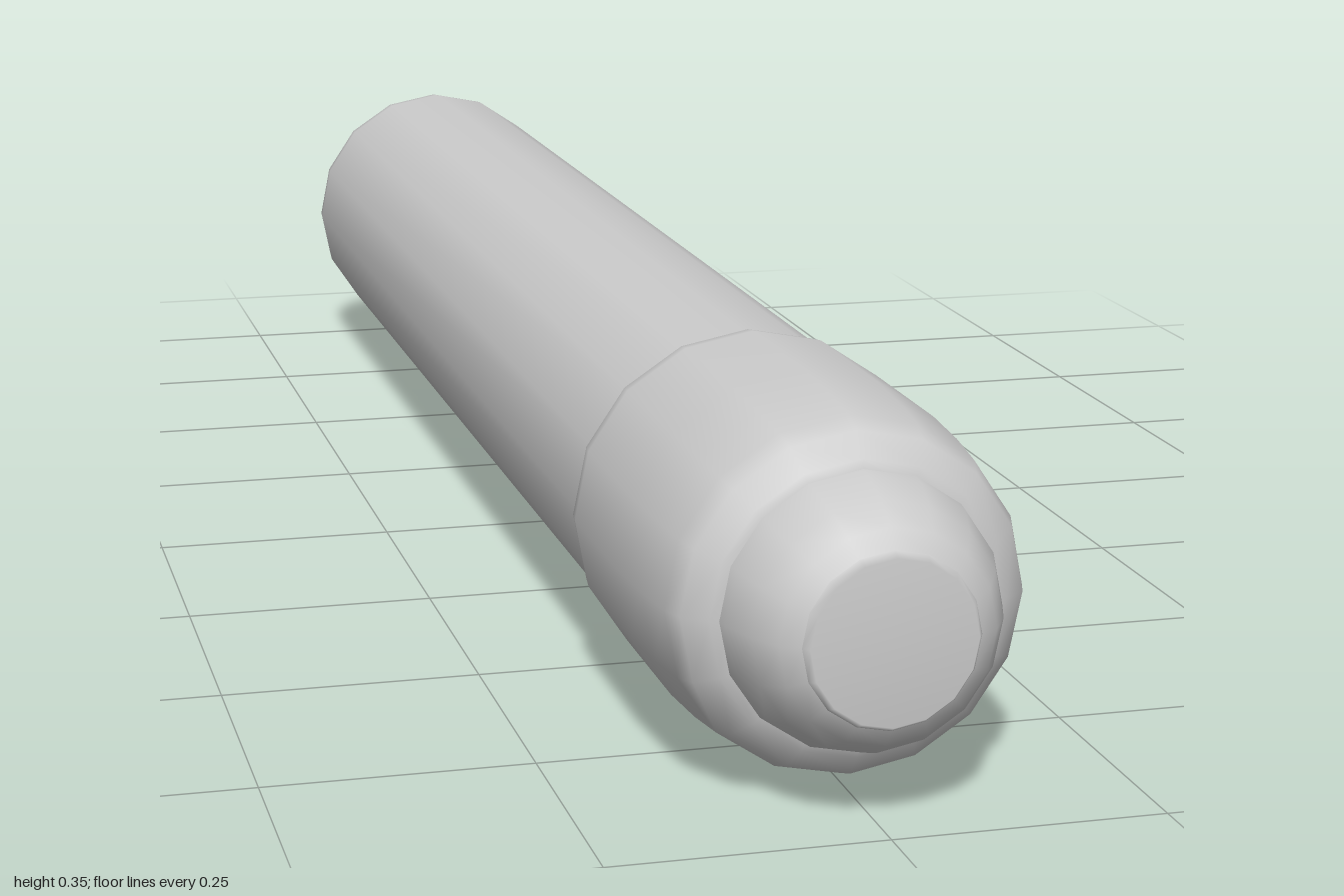
import * as THREE from 'three';

const SIDES = 16;
const AXIS_Y = 0.175;

export function createModel() {
  const model = new THREE.Group();
  const material = new THREE.MeshStandardMaterial({ color: 0xcccccc });

  // Revolves [radius, z] pairs around the long axis
  const turned = (name, profile) => {
    const points = profile.map(([r, z]) => new THREE.Vector2(r, z));
    const geometry = new THREE.LatheGeometry(points, SIDES);
    geometry.rotateX(Math.PI / 2);
    const mesh = new THREE.Mesh(geometry, material);
    mesh.name = name;
    mesh.position.y = AXIS_Y;
    model.add(mesh);
  };

  // Long barrel with a softly rounded open end
  turned('barrel', [
    [0.118, -0.95], [0.122, -0.985], [0.13, -1], [0.152, -1],
    [0.161, -0.99], [0.163, -0.97], [0.163, 0.57],
  ]);

  // Inner sleeve, set slightly back from the rim
  turned('innerSleeve', [[0.104, 0.88], [0.104, -0.94], [0.108, -0.955], [0.119, -0.95]]);
  turned('boreFloor', [[0, 0.88], [0.104, 0.88]].reverse());

  // Wider collar that tapers toward the tip
  turned('collar', [
    [0.162, 0.55], [0.17, 0.56], [0.173, 0.58], [0.173, 0.74],
    [0.169, 0.81], [0.163, 0.865], [0.155, 0.888], [0.134, 0.905], [0.122, 0.908],
  ]);

  // Rounded nose with a flat end
  turned('nose', [[0.128, 0.89], [0.124, 0.92], [0.112, 0.955], [0.096, 0.982], [0.079, 0.992]]);
  turned('noseCap', [[0.079, 0.992], [0.074, 1], [0, 1]]);

  return model;
}
